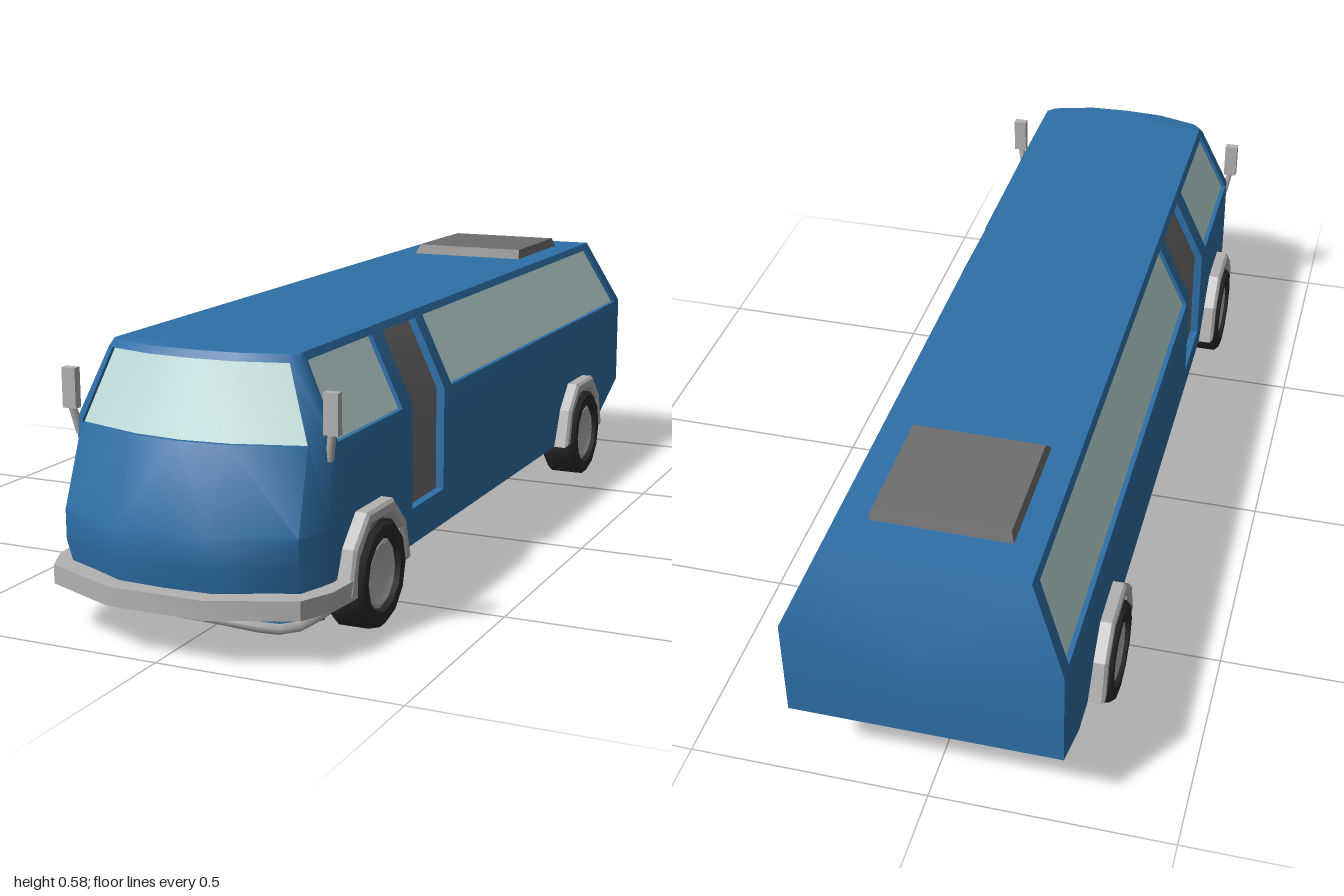
import * as THREE from 'three';
import { toCreasedNormals } from 'three/addons/utils/BufferGeometryUtils.js';
import { ConvexGeometry } from 'three/addons/geometries/ConvexGeometry.js';

const paint = (name, color, side = THREE.FrontSide) => {
  const m = new THREE.MeshStandardMaterial({ color, side });
  m.name = name;
  return m;
};

export function createModel() {
  const bus = new THREE.Group();
  bus.name = 'bus';
  const blue = paint('blue paint', 0x2e70a8);
  const glass = paint('pale glass', 0xbfdcda, THREE.DoubleSide);
  const grey = paint('door grey', 0x6e6e70, THREE.DoubleSide);
  const trim = paint('light grey trim', 0xb4b2b1);
  const rubber = paint('black rubber', 0x2a2a2a);

  const add = (name, geometry, material, parent = bus) => {
    const mesh = new THREE.Mesh(geometry, material);
    mesh.name = name;
    parent.add(mesh);
    return mesh;
  };
  const fromTriangles = (list) => {
    const g = new THREE.BufferGeometry();
    g.setAttribute('position', new THREE.Float32BufferAttribute(list, 3));
    return toCreasedNormals(g, 0.9);
  };
  const vec = (x, y, z) => new THREE.Vector3(x, y, z);

  // Body outline per height: y, half width, rear z, corner z,
  // windscreen edge x z, front bend x z, nose z
  const levels = [
    [0.10, 0.270, -0.85, 0.800, 0.245, 0.880, 0.10, 0.950, 0.955],
    [0.18, 0.275, -1.00, 0.820, 0.250, 0.905, 0.10, 0.970, 0.975],
    [0.24, 0.275, -1.00, 0.820, 0.250, 0.905, 0.10, 0.970, 0.975],
    [0.40, 0.275, -1.00, 0.815, 0.243, 0.850, 0.10, 0.895, 0.905],
    [0.545, 0.207, -0.945, 0.800, 0.190, 0.815, 0.09, 0.842, 0.847],
    [0.56, 0.200, -0.94, 0.790, 0.183, 0.808, 0.09, 0.835, 0.840],
  ];
  const rings = levels.map(([y, w, rear, zc, xw, zw, xm, zm, nose]) => [
    [0, y, rear], [w, y, rear],
    ...[rear + 0.035, 0.23, 0.27, 0.44, 0.49, y > 0.5 ? 0.775 : 0.79].map((z) => [w, y, z]),
    [w, y, zc], [xw, y, zw], [xm, y, zm], [0, y, nose],
  ]);
  const last = rings[0].length - 1;

  // Which cells of the shell are openings
  const opening = (l, c) => {
    if (c === 4 && l >= 1 && l <= 3) return 'door';
    if (l !== 3) return null;
    if (c === 2) return 'sideWindow';
    if (c === 6) return 'cabWindow';
    return c >= 9 ? 'windscreen' : null;
  };

  const shell = [];
  const panes = { windscreen: [] };
  for (const s of [1, -1]) {
    const side = s > 0 ? 'left' : 'right';
    const quad = (out, a, b, c, d) => {
      const order = s > 0 ? [a, b, c, a, c, d] : [a, c, b, a, d, c];
      for (const p of order) out.push(p[0] * s, p[1], p[2]);
    };
    for (let c = 0; c < last; c++) {
      for (let l = 0; l < rings.length - 1; l++) {
        const cell = [rings[l][c], rings[l + 1][c], rings[l + 1][c + 1], rings[l][c + 1]];
        const kind = opening(l, c);
        if (!kind) {
          quad(shell, ...cell);
          continue;
        }
        // Recessed pane with a frame around it
        const sunk = cell.map(([x, y, z]) =>
          kind === 'windscreen' ? [x, y, z - 0.01] : [x - (kind === 'door' ? 0.018 : 0.01), y, z]);
        const name = kind === 'windscreen' ? kind : side + kind;
        quad(panes[name] ??= [], ...sunk);
        const next = [[l, c - 1], [l + 1, c], [l, c + 1], [l - 1, c]];
        next.forEach((n, i) => {
          const j = (i + 1) % 4;
          if (opening(...n) !== kind) quad(shell, cell[i], cell[j], sunk[j], sunk[i]);
        });
      }
      // Roof and floor strips out to the centre line
      if (c > 0) {
        const mid = (p) => [0, p[1], p[2]];
        const top = rings.at(-1), low = rings[0];
        quad(shell, top[c], mid(top[c]), mid(top[c + 1]), top[c + 1]);
        quad(shell, low[c + 1], mid(low[c + 1]), mid(low[c]), low[c]);
      }
    }
  }
  add('body', fromTriangles(shell), blue);
  for (const [name, list] of Object.entries(panes)) {
    add(name, fromTriangles(list), name.includes('door') ? grey : glass);
  }

  // Roof hatch with sloping edges
  const hatch = [];
  for (const x of [-1, 1]) {
    hatch.push(vec(x * 0.143, 0.555, -0.55), vec(x * 0.143, 0.555, -0.845),
      vec(x * 0.135, 0.581, -0.575), vec(x * 0.135, 0.581, -0.835));
  }
  add('roofHatch', new ConvexGeometry(hatch), grey);

  // Front bumper band, wrapped round the nose
  const outer = [[0.305, 0.77], [0.297, 0.86], [0.265, 0.93], [0.1, 1.0]];
  const inner = [[0.09, 0.95], [0.235, 0.89], [0.265, 0.84], [0.265, 0.77]];
  const flip = (pts) => pts.map(([x, z]) => [-x, z]).reverse();
  const band = new THREE.Shape(
    [...outer, ...flip(outer), ...flip(inner), ...inner].map(([x, z]) => new THREE.Vector2(x, -z)));
  const bumper = new THREE.ExtrudeGeometry(band, { depth: 0.038, bevelEnabled: false });
  bumper.rotateX(-Math.PI / 2).translate(0, 0.096, 0);
  add('frontBumper', toCreasedNormals(bumper, 0.7), trim);

  // Sagging valance and its lower rail
  add('frontValance', new ConvexGeometry([
    vec(-0.26, 0.101, 0.8), vec(-0.1, 0.101, 0.95), vec(0.1, 0.101, 0.95), vec(0.26, 0.101, 0.8),
    vec(0.2, 0.052, 0.88), vec(0.25, 0.055, 0.8), vec(0.15, 0.1, 0.62),
  ]), blue);
  const rail = new THREE.CatmullRomCurve3([
    vec(-0.26, 0.1, 0.86), vec(-0.1, 0.095, 0.95), vec(0.1, 0.085, 0.95),
    vec(0.22, 0.062, 0.89), vec(0.255, 0.075, 0.8),
  ]);
  add('lowerRail', new THREE.TubeGeometry(rail, 16, 0.011, 6), trim);

  // Wheels with angular arches
  const lathe = (pts) => toCreasedNormals(
    new THREE.LatheGeometry(pts.map((p) => new THREE.Vector2(...p)), 12), 0.6);
  const tyre = lathe([[0, -0.043], [0.1, -0.043], [0.11, -0.03], [0.11, 0.032],
    [0.1, 0.043], [0.077, 0.043], [0.07, 0.03]]);
  const hub = lathe([[0.074, 0.03], [0.062, 0.037], [0.045, 0.03], [0, 0.03]]);
  const archShape = new THREE.Shape([
    [-0.145, 0.1], [-0.12, 0.19], [-0.06, 0.247], [0.06, 0.247], [0.12, 0.19], [0.145, 0.1],
    [0.115, 0.1], [0.097, 0.175], [0.048, 0.22], [-0.048, 0.22], [-0.097, 0.175], [-0.115, 0.1],
  ].map((p) => new THREE.Vector2(...p)));
  const archGeometry = new THREE.ExtrudeGeometry(archShape, {
    depth: 0.035, bevelThickness: 0.006, bevelSize: 0.006, bevelOffset: -0.006, bevelSegments: 1,
  });
  archGeometry.rotateY(Math.PI / 2).translate(-0.0175, 0, 0);

  for (const s of [1, -1]) {
    const side = s > 0 ? 'left' : 'right';
    for (const [end, z] of [['Front', 0.655], ['Rear', -0.63]]) {
      const wheel = new THREE.Group();
      wheel.name = side + end + 'Wheel';
      wheel.position.set(s * 0.267, 0.11, z);
      wheel.rotation.z = -s * Math.PI / 2;
      add('tyre', tyre, rubber, wheel);
      add('hub', hub, trim, wheel);
      bus.add(wheel);
      add(side + end + 'Arch', archGeometry, trim).position.set(s * 0.281, 0, z);
    }

    // Wing mirror on a short arm
    const mirror = new THREE.Group();
    mirror.name = side + 'Mirror';
    add('mirrorHead', new THREE.BoxGeometry(0.03, 0.08, 0.018), trim, mirror)
      .position.set(s * 0.281, 0.461, 0.825);
    const arm = new THREE.LineCurve3(vec(s * 0.28, 0.425, 0.825), vec(s * 0.27, 0.37, 0.815));
    add('mirrorArm', new THREE.TubeGeometry(arm, 1, 0.008, 6), trim, mirror);
    bus.add(mirror);
  }
  return bus;
}
